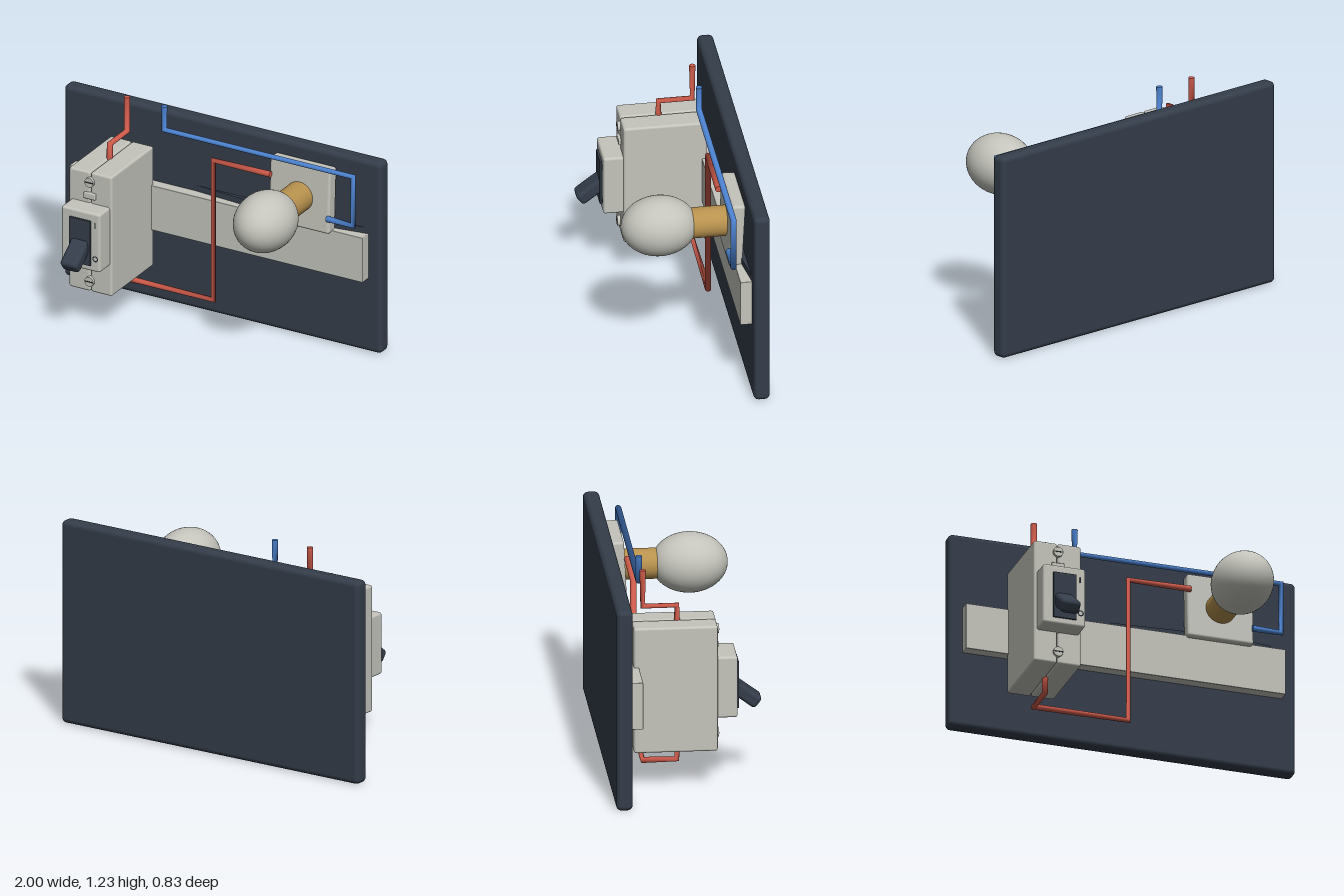
import * as THREE from 'three';
import { RoundedBoxGeometry } from 'three/addons/geometries/RoundedBoxGeometry.js';

const mat = (name, color) => Object.assign(new THREE.MeshStandardMaterial({ color }), { name });

// Wire route with straight runs; each corner ring is turned halfway
class WireRoute extends THREE.Curve {
  constructor(points) {
    super();
    this.points = points.map(p => new THREE.Vector3(...p));
  }
  getPointAt(u) {
    return this.points[Math.round(u * (this.points.length - 1))].clone();
  }
  getTangentAt(u) {
    const p = this.points, i = Math.round(u * (p.length - 1));
    const t = new THREE.Vector3();
    if (i > 0) t.add(p[i].clone().sub(p[i - 1]).normalize());
    if (i < p.length - 1) t.add(p[i + 1].clone().sub(p[i]).normalize());
    return t.normalize();
  }
}

export function createModel() {
  const model = new THREE.Group();
  const navy = mat('navy', 0x343d4a);
  const grey = mat('light grey', 0xc4c4bc);
  const brass = mat('brass', 0xb8924e);
  const red = mat('red wire', 0xcc5a4a);
  const blue = mat('blue wire', 0x4a7fcb);
  const ink = mat('ink', 0x24282e);

  const add = (parent, name, geo, material, x = 0, y = 0, z = 0) => {
    const m = new THREE.Mesh(geo, material);
    m.name = name;
    m.position.set(x, y, z);
    parent.add(m);
    return m;
  };
  // Rounded block from its limits on each axis
  const block = (parent, name, material, [x0, x1], [y0, y1], [z0, z1], r) =>
    add(parent, name, new RoundedBoxGeometry(x1 - x0, y1 - y0, z1 - z0, 3, r), material,
      (x0 + x1) / 2, (y0 + y1) / 2, (z0 + z1) / 2);

  // Backboard and mounting rail
  block(model, 'backboard', navy, [-1, 1], [0, 1.155], [-0.42, -0.33], 0.028);
  block(model, 'mountingRail', grey, [-0.925, 0.92], [0.445, 0.715], [-0.335, -0.267], 0.004);

  // Low ramp on the board behind the lamp
  const ramp = new THREE.Shape([[-0.2, 0.332], [0.3, 0.295], [0.73, 0.305], [0.92, 0.332]]
    .map(p => new THREE.Vector2(...p)));
  add(model, 'boardRamp', new THREE.ExtrudeGeometry(ramp, { depth: 0.05, bevelEnabled: false })
    .rotateX(-Math.PI / 2), navy, 0, 0.7, 0);

  // Circuit breaker: two shells with a seam, and a raised nose
  const breaker = new THREE.Group();
  breaker.name = 'breaker';
  model.add(breaker);
  const cx = -0.545;
  block(breaker, 'rightShell', grey, [-0.68, cx - 0.002], [0.22, 0.942], [-0.295, 0.165], 0.013);
  block(breaker, 'leftShell', grey, [cx + 0.002, -0.41], [0.22, 0.942], [-0.295, 0.165], 0.013);
  block(breaker, 'nose', grey, [-0.665, -0.422], [0.405, 0.757], [0.1, 0.275], 0.014);
  block(breaker, 'topTab', grey, [cx - 0.037, cx + 0.037], [0.783, 0.82], [0.15, 0.178], 0.006);

  // Terminal screws with slots
  for (const y of [0.285, 0.885]) {
    add(breaker, 'terminalScrew', new THREE.CylinderGeometry(0.028, 0.028, 0.03, 24).rotateX(Math.PI / 2),
      grey, cx, y, 0.166);
    add(breaker, 'screwSlot', new THREE.BoxGeometry(0.05, 0.006, 0.003), ink, cx, y, 0.1815);
  }

  // Switch plate, lever and simple position marks
  add(breaker, 'switchPlate', new THREE.BoxGeometry(0.132, 0.27, 0.012), navy, cx + 0.002, 0.575, 0.28);
  const lever = add(breaker, 'lever', new RoundedBoxGeometry(0.108, 0.076, 0.22, 4, 0.022), navy, cx, 0.521, 0.309);
  lever.rotation.x = 0.644;
  add(breaker, 'onMark', new THREE.BoxGeometry(0.007, 0.034, 0.003), ink, -0.452, 0.685, 0.2755);
  add(breaker, 'offMark', new THREE.RingGeometry(0.011, 0.018, 24), ink, -0.45, 0.485, 0.2765);

  // Lamp: slightly leaning base, brass socket and oval bulb
  const lamp = new THREE.Group();
  lamp.name = 'lamp';
  model.add(lamp);
  const base = add(lamp, 'lampBase', new RoundedBoxGeometry(0.38, 0.38, 0.075, 3, 0.015), grey, 0.535, 0.89, -0.281);
  base.rotation.x = -0.05;
  add(lamp, 'socket', new THREE.CylinderGeometry(0.085, 0.085, 0.22, 40).rotateX(Math.PI / 2),
    brass, 0.535, 0.887, -0.16);
  add(lamp, 'bulb', new THREE.SphereGeometry(1, 48, 32).rotateX(Math.PI / 2), grey, 0.535, 0.888, 0.122)
    .scale.set(0.168, 0.168, 0.21);

  // Wires, each closed at both ends
  const wire = (name, material, points) => {
    const group = new THREE.Group();
    group.name = name;
    model.add(group);
    const route = new WireRoute(points);
    const radius = 0.0175;
    add(group, name + 'Run', new THREE.TubeGeometry(route, points.length - 1, radius, 16), material);
    for (const u of [0, 1]) {
      const p = route.getPointAt(u);
      const outward = route.getTangentAt(u).multiplyScalar(u ? 1 : -1);
      add(group, name + 'End', new THREE.CircleGeometry(radius, 16), material, p.x, p.y, p.z)
        .quaternion.setFromUnitVectors(new THREE.Vector3(0, 0, 1), outward);
    }
  };
  const wz = -0.235, bz = -0.048;
  wire('supplyWire', red, [[cx, 1.233, wz], [cx, 1.025, wz], [cx, 1.025, bz], [cx, 0.92, bz]]);
  wire('lampWire', red, [[cx, 0.24, bz], [cx, 0.135, bz], [cx, 0.135, wz],
    [0, 0.135, wz], [0, 0.98, wz], [0.36, 0.98, wz]]);
  wire('returnWire', blue, [[-0.31, 1.233, wz], [-0.31, 1.09, wz], [0.88, 1.09, wz],
    [0.88, 0.795, wz], [0.715, 0.797, wz]]);

  return model;
}
